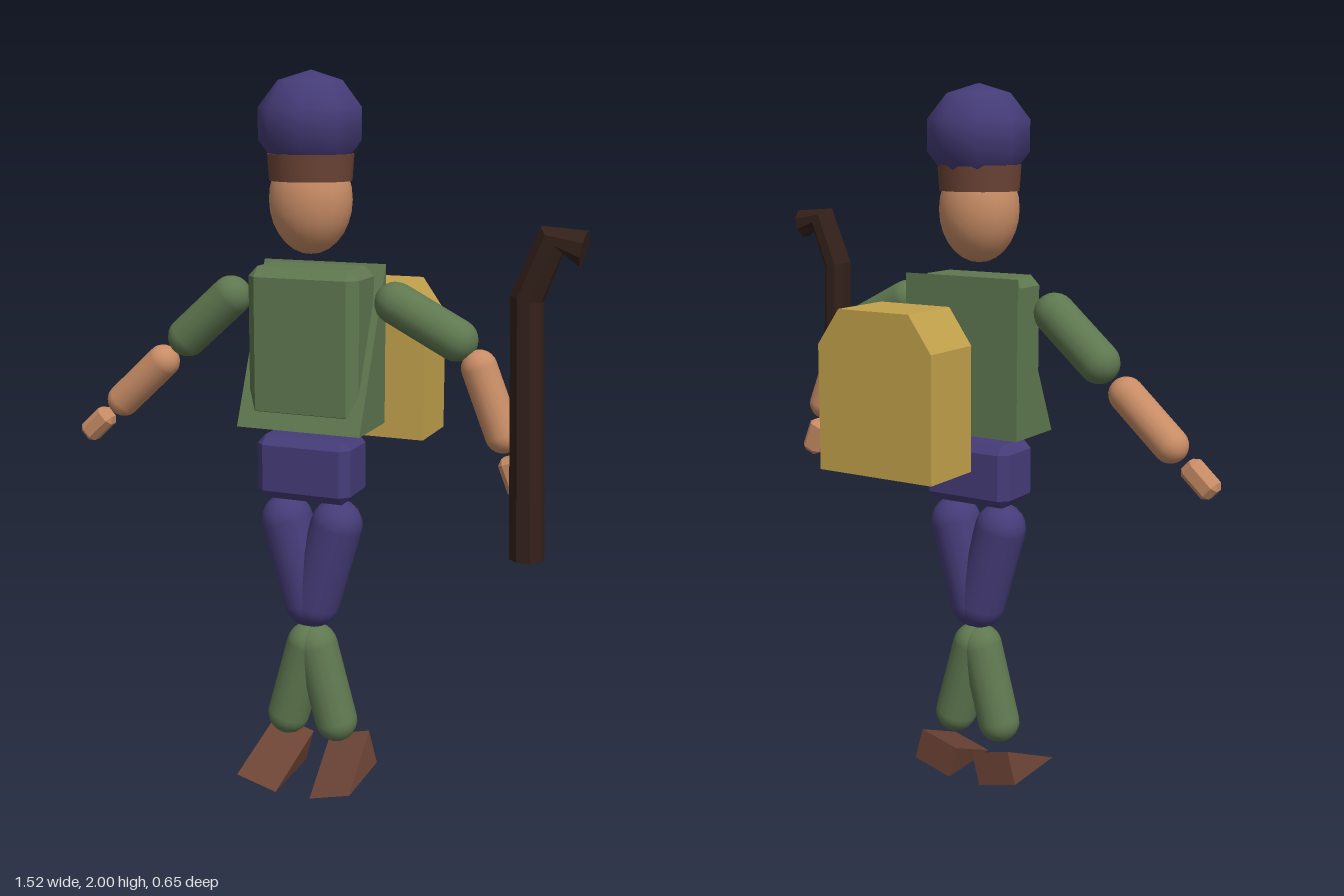
import * as THREE from 'three';
import { ConvexGeometry } from 'three/addons/geometries/ConvexGeometry.js';

const CX = -0.03; // body axis
const CZ = 0.073; // body depth
const UP = new THREE.Vector3(0, 1, 0);

const mat = (color, flatShading = false) => new THREE.MeshStandardMaterial({ color, flatShading });
const skin = mat(0xc98d66);
const green = mat(0x5f7850);
const purple = mat(0x453c78);
const brown = mat(0x6b4335);
const gold = mat(0xc3a24c);
const darkWood = mat(0x33201a, true);

export function createModel() {
  const model = new THREE.Group();

  const add = (name, geometry, material, x = 0, y = 0, z = 0) => {
    const mesh = new THREE.Mesh(geometry, material);
    mesh.name = name;
    mesh.position.set(x, y, z);
    model.add(mesh);
    return mesh;
  };

  // Box with every edge cut at 45 degrees
  const chamferBox = (w, h, d, c) => {
    const points = [];
    for (const sx of [-1, 1]) for (const sy of [-1, 1]) for (const sz of [-1, 1]) {
      for (let k = 0; k < 3; k++) {
        const cut = [c, c, c];
        cut[k] = 0;
        points.push(new THREE.Vector3(sx * (w / 2 - cut[0]), sy * (h / 2 - cut[1]), sz * (d / 2 - cut[2])));
      }
    }
    return new ConvexGeometry(points);
  };

  // Triangular prism: upright back, flat base, slope falling to the front
  const wedge = (w, h, d) => {
    const shape = new THREE.Shape([
      new THREE.Vector2(0, -h / 2), new THREE.Vector2(d, -h / 2), new THREE.Vector2(0, h / 2),
    ]);
    return new THREE.ExtrudeGeometry(shape, { depth: w, bevelEnabled: false })
      .translate(0, 0, -w / 2).rotateY(-Math.PI / 2);
  };

  // Round-ended limb between two points in the body plane
  const limb = (name, [ax, ay], [bx, by], r, material) => {
    const dir = new THREE.Vector3(bx - ax, by - ay, 0);
    const geometry = new THREE.CapsuleGeometry(r, dir.length(), 6, 16);
    const mesh = add(name, geometry, material, (ax + bx) / 2, (ay + by) / 2, CZ);
    mesh.quaternion.setFromUnitVectors(UP, dir.normalize());
  };

  // Head, hat band and faceted cap
  add('head', new THREE.SphereGeometry(1, 20, 14), skin, CX, 1.665, CZ).scale.set(0.113, 0.145, 0.106);
  add('hatBand', new THREE.CylinderGeometry(0.117, 0.112, 0.07, 20), brown, CX, 1.75, CZ).scale.z = 0.94;
  const hat = add('hat', new THREE.SphereGeometry(1, 9, 5), purple, CX, 1.862, 0.068);
  hat.scale.set(0.149, 0.138, 0.146);
  hat.rotation.y = Math.PI;

  // Torso: flared coat wedge with a chamfered chest block
  add('coat', wedge(0.36, 0.44, 0.195), green, CX, 1.27, -0.022);
  add('chest', chamferBox(0.32, 0.42, 0.165, 0.027), green, CX, 1.278, CZ);
  add('pelvis', chamferBox(0.276, 0.18, 0.165, 0.025), purple, CX, 0.935, CZ);

  // Legs and tilted wedge shoes
  for (const s of [-1, 1]) {
    const side = s > 0 ? 'left' : 'right';
    limb(side + 'Thigh', [CX + s * 0.075, 0.77], [CX + s * 0.008, 0.535], 0.073, purple);
    limb(side + 'Shin', [CX + s * 0.013, 0.405], [CX + s * 0.074, 0.182], 0.061, green);
    const shoe = add(side + 'Shoe', wedge(0.125, 0.1, 0.222), brown, CX + s * 0.1, 0.065, 0);
    shoe.rotation.z = s * 0.26;
  }

  // Arms: shoulder, elbow, forearm start and end, hand centre
  const arms = {
    right: [[-0.27, 1.394], [-0.407, 1.272], [-0.489, 1.195], [-0.621, 1.073], [-0.709, 0.994]],
    left: [[0.213, 1.4], [0.383, 1.312], [0.446, 1.243], [0.515, 1.068], [0.55, 0.962]],
  };
  for (const [side, [a, b, c, d, h]] of Object.entries(arms)) {
    limb(side + 'UpperArm', a, b, 0.057, green);
    limb(side + 'Forearm', c, d, 0.048, skin);
    const hand = add(side + 'Hand', chamferBox(0.062, 0.108, 0.056, 0.015), skin, h[0], h[1], CZ);
    hand.quaternion.setFromUnitVectors(UP, new THREE.Vector3(c[0] - d[0], c[1] - d[1], 0).normalize());
  }

  // Backpack with sloping upper corners
  const pack = new THREE.Shape([
    [-0.135, 0.98], [0.225, 0.98], [0.225, 1.322], [0.156, 1.42], [-0.066, 1.42], [-0.135, 1.322],
  ].map(([x, y]) => new THREE.Vector2(x, y)));
  add('backpack', new THREE.ExtrudeGeometry(pack, { depth: 0.192, bevelEnabled: false }), gold, 0, 0, -0.326);

  // Walking stick: mitred eight-sided rings given by their left and right edges
  const rings = [
    [0.6, 0.808, 0.684, 0.808], [0.584, 1.47, 0.66, 1.455],
    [0.653, 1.635, 0.706, 1.577], [0.763, 1.627, 0.748, 1.545],
  ];
  const N = 8;
  const pos = [];
  const index = [];
  for (const [lx, ly, rx, ry] of rings) {
    for (let i = 0; i < N; i++) {
      const a = ((i + 0.5) / N) * Math.PI * 2;
      const t = 0.5 + 0.5 * Math.cos(a) / Math.cos(Math.PI / N);
      pos.push(lx + (rx - lx) * t, ly + (ry - ly) * t, 0.285 - 0.04 * Math.sin(a));
    }
  }
  for (let k = 0; k < rings.length - 1; k++) {
    for (let i = 0; i < N; i++) {
      const a = k * N + i;
      const b = k * N + (i + 1) % N;
      index.push(a, b, b + N, a, b + N, a + N);
    }
  }
  const last = (rings.length - 1) * N;
  for (let i = 1; i < N - 1; i++) {
    index.push(0, i + 1, i, last, last + i, last + i + 1);
  }
  const stick = new THREE.BufferGeometry();
  stick.setAttribute('position', new THREE.Float32BufferAttribute(pos, 3));
  stick.setIndex(index);
  stick.computeVertexNormals();
  add('walkingStick', stick, darkWood);

  return model;
}
